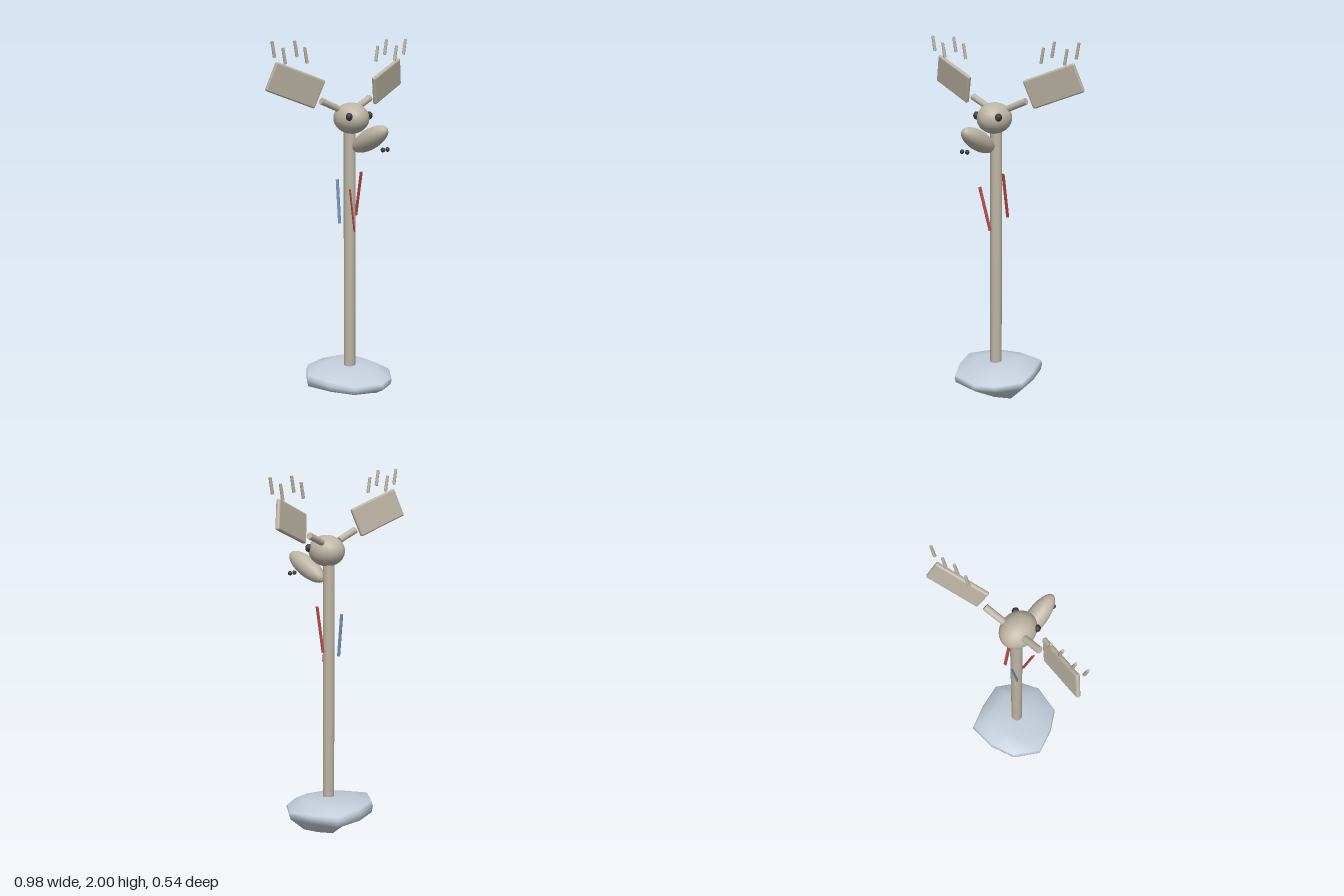
import * as THREE from 'three';
import { mergeVertices } from 'three/addons/utils/BufferGeometryUtils.js';
import { RoundedBoxGeometry } from 'three/addons/geometries/RoundedBoxGeometry.js';

const V = (x, y, z) => new THREE.Vector3(x, y, z);

function material(name, color) {
  const m = new THREE.MeshStandardMaterial({ color });
  m.name = name;
  return m;
}

// Share vertices so the shading rolls softly over the edges
function soften(geometry) {
  geometry.deleteAttribute('normal');
  geometry.deleteAttribute('uv');
  const merged = mergeVertices(geometry, 1e-5);
  merged.computeVertexNormals();
  return merged;
}

export function createModel() {
  const model = new THREE.Group();
  model.name = 'antleredPost';
  const wood = material('palewood', 0xbdb5a4);
  const snow = material('snow', 0xc3cedb);
  const dark = material('charcoal', 0x3a3a3c);
  const red = material('red', 0xb84a44);
  const blue = material('blue', 0x7890b8);

  function add(name, geometry, mat, parent = model) {
    const mesh = new THREE.Mesh(geometry, mat);
    mesh.name = name;
    parent.add(mesh);
    return mesh;
  }

  function ellipsoid(name, center, radii, mat, w = 24, h = 16) {
    const mesh = add(name, new THREE.SphereGeometry(1, w, h), mat);
    mesh.position.copy(center);
    mesh.scale.copy(radii);
    return mesh;
  }

  // Cylinder between two points
  function rod(name, from, to, r0, r1, mat, sides = 10) {
    const dir = to.clone().sub(from);
    const mesh = add(name, new THREE.CylinderGeometry(r1, r0, dir.length(), sides), mat);
    mesh.position.copy(from).add(to).multiplyScalar(0.5);
    mesh.quaternion.setFromUnitVectors(V(0, 1, 0), dir.normalize());
    return mesh;
  }

  // Irregular snow mound, made of scaled copies of one outline
  const outline = [[0, -0.27], [0.165, -0.255], [0.215, -0.1], [0.24, 0.05], [0.14, 0.175],
    [0.03, 0.22], [-0.145, 0.175], [-0.215, 0.05], [-0.255, -0.1], [-0.15, -0.23]];
  const rings = [
    [0, () => 0.045],
    [0.6, (x) => 0.05 - 0.33 * x],
    [0.97, (x, z) => 0.085 - 0.03 * z],
    [1, (x, z) => 0.115 - 0.06 * z],
    [0.97, (x, z) => 0.135 - 0.03 * x - 0.1 * z],
    [0.6, (x, z) => 0.17 + 0.06 * x - 0.1 * z],
    [0, () => 0.18],
  ];
  const points = [], faces = [], n = outline.length;
  rings.forEach(([s, height], i) => outline.forEach(([px, pz], j) => {
    const x = px * s, z = pz * s;
    points.push(x, height(x, z), z);
    if (i === rings.length - 1) return;
    const a = i * n + j, b = i * n + (j + 1) % n;
    if (s > 0) faces.push(a, b + n, b);
    if (rings[i + 1][0] > 0) faces.push(a, a + n, b + n);
    else faces.push(a, a + n, b);
  }));
  const mound = new THREE.BufferGeometry();
  mound.setAttribute('position', new THREE.Float32BufferAttribute(points, 3));
  mound.setIndex(faces);
  const smoothMound = mergeVertices(mound, 1e-5);
  smoothMound.computeVertexNormals();
  add('snowMound', smoothMound, snow);

  // Post
  const post = add('post', soften(new THREE.CylinderGeometry(0.033, 0.033, 1.51, 12)), wood);
  post.position.set(0, 0.795, -0.025);

  // Head and muzzle
  ellipsoid('head', V(0, 1.58, -0.01), V(0.091, 0.085, 0.107), wood);
  const muzzle = ellipsoid('muzzle', V(0, 1.477, 0.14), V(0.055, 0.055, 0.142), wood);
  muzzle.rotation.x = -0.46;

  // Paired features
  for (const side of [1, -1]) {
    const label = side > 0 ? 'left' : 'right';
    ellipsoid(label + 'Eye', V(side * 0.073, 1.595, 0.054), V(0.018, 0.022, 0.02), dark, 10, 8);
    ellipsoid(label + 'Nostril', V(side * 0.017, 1.43, 0.257), V(0.011, 0.013, 0.013), dark, 8, 6);
    rod(label + 'AntlerStem', V(side * 0.068, 1.633, -0.04), V(side * 0.178, 1.68, -0.054),
      0.018, 0.019, wood, 12);

    // Flat antler palm, tilted outward and back
    const along = V(side * 0.905, 0.345, -0.25).normalize();
    const up = V(side * -0.285, 0.93, 0.24);
    up.addScaledVector(along, -up.dot(along)).normalize();
    const normal = side > 0 ? along.clone().cross(up) : up.clone().cross(along);
    const xAxis = along.clone().multiplyScalar(side);
    const palm = add(label + 'AntlerPalm', new RoundedBoxGeometry(0.3, 0.162, 0.024, 3, 0.01), wood);
    palm.quaternion.setFromRotationMatrix(new THREE.Matrix4().makeBasis(xAxis, up, normal));
    palm.position.set(side * 0.334, 1.767, -0.08);

    // Floating tines above the palm
    [[0.25, 1.88], [0.318, 1.915], [0.397, 1.88], [0.468, 1.915]].forEach(([x, y], i) => {
      rod(`${label}Tine${i + 1}`, V(side * x, y, -0.083), V(side * (x + 0.016), y + 0.084, -0.083),
        0.009, 0.008, wood, 8);
    });
  }

  // Three slanted ribbons spaced around the post
  [
    [V(0.065, 1.03, -0.045), V(0.065, 1.28, 0), red],
    [V(-0.006, 0.957, 0.022), V(-0.06, 1.2, 0.045), red],
    [V(-0.04, 0.995, -0.063), V(-0.026, 1.237, -0.098), blue],
  ].forEach(([from, to, mat], i) => {
    const center = from.clone().add(to).multiplyScalar(0.5);
    const up = to.clone().sub(from);
    const length = up.length();
    up.normalize();
    const a = i * Math.PI * 2 / 3;
    const radial = V(Math.cos(a), 0, Math.sin(a));
    radial.addScaledVector(up, -radial.dot(up)).normalize();
    const ribbon = add(`ribbon${i + 1}`, new THREE.BoxGeometry(0.016, length, 0.007), mat);
    ribbon.quaternion.setFromRotationMatrix(
      new THREE.Matrix4().makeBasis(radial, up, radial.clone().cross(up)));
    ribbon.position.copy(center);
  });

  return model;
}
